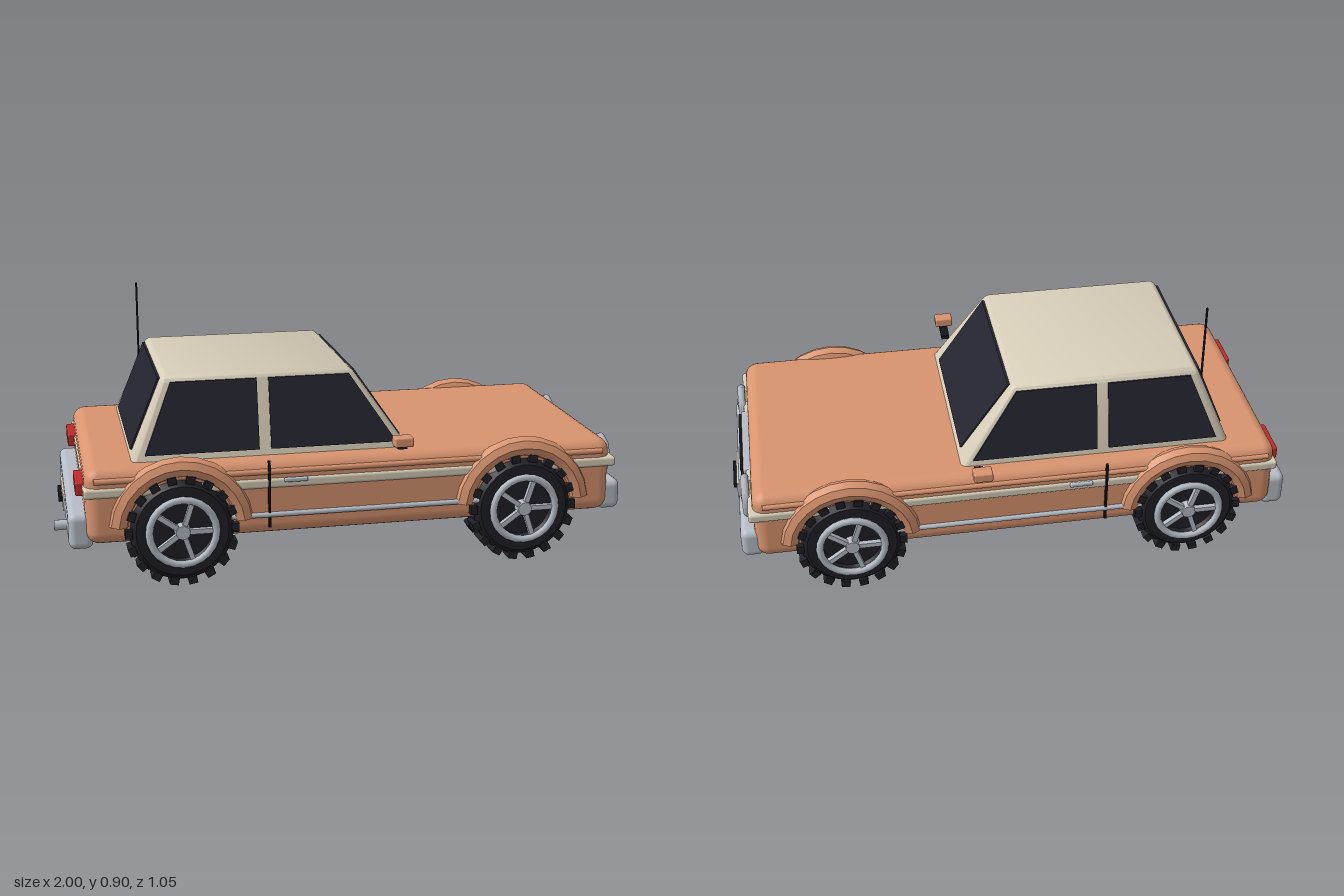
import * as THREE from 'three';
import { toCreasedNormals } from 'three/addons/utils/BufferGeometryUtils.js';
import { RoundedBoxGeometry } from 'three/addons/geometries/RoundedBoxGeometry.js';
import { ConvexGeometry } from 'three/addons/geometries/ConvexGeometry.js';

const mat = (name, color) => new THREE.MeshStandardMaterial({ name, color });

export function createModel() {
  const car = new THREE.Group();
  car.name = 'car';
  const M = {
    paint: mat('orangePaint', 0xd9946f),
    cream: mat('creamPaint', 0xd6cdb8),
    glass: mat('darkGlass', 0x242430),
    chrome: mat('chrome', 0xb6bcc6),
    tyre: mat('tyreRubber', 0x1e1e26),
    black: mat('blackTrim', 0x12121a),
    lens: mat('lampLens', 0xcdbd80),
    red: mat('tailRed', 0xc22a2a),
  };

  const add = (name, geo, m, x = 0, y = 0, z = 0, parent = car) => {
    const mesh = new THREE.Mesh(geo, m);
    mesh.name = name;
    mesh.position.set(x, y, z);
    parent.add(mesh);
    return mesh;
  };
  // Box given by its extents, rounded when r > 0
  const box = (name, m, x0, x1, y0, y1, z0, z1, r = 0, parent = car) => {
    const s = [x1 - x0, y1 - y0, z1 - z0];
    const geo = r ? new RoundedBoxGeometry(...s, 3, r) : new THREE.BoxGeometry(...s);
    return add(name, geo, m, (x0 + x1) / 2, (y0 + y1) / 2, (z0 + z1) / 2, parent);
  };
  // Cylinder lying along x
  const rodX = (name, m, x0, x1, y, z, r, sides = 10) => {
    const geo = new THREE.CylinderGeometry(r, r, x1 - x0, sides).rotateZ(Math.PI / 2);
    return add(name, geo, m, (x0 + x1) / 2, y, z);
  };

  // Body shell and the cream band around it
  box('body', M.paint, -0.9, 0.925, 0.15, 0.412, -0.435, 0.435, 0.045);
  box('sideBand', M.cream, -0.905, 0.94, 0.316, 0.35, -0.442, 0.442, 0.01);

  // Cabin: rounded box tapered towards the roof
  const lerp = THREE.MathUtils.lerp;
  const level = y => (y - 0.415) / 0.275;
  const frontX = y => lerp(0.205, 0.015, level(y));
  const rearX = y => lerp(-0.738, -0.625, level(y));
  const sideZ = y => lerp(0.37, 0.312, level(y));
  const cabin = new RoundedBoxGeometry(1, 0.32, 0.75, 4, 0.025);
  const p = cabin.attributes.position;
  for (let i = 0; i < p.count; i++) {
    const y = p.getY(i) + 0.53;
    p.setXYZ(i, lerp(rearX(y), frontX(y), p.getX(i) + 0.5), y, p.getZ(i) / 0.375 * sideZ(y));
  }
  add('cabin', toCreasedNormals(cabin, 0.8), M.cream);

  // Window plates lying on the sloping cabin faces
  const plate = (name, corners, offset) => {
    const pts = corners.flatMap(c => [1, -0.3].map(k => c.clone().addScaledVector(offset, k)));
    add(name, new ConvexGeometry(pts), M.glass);
  };
  const V = (x, y, z) => new THREE.Vector3(x, y, z);
  const lo = 0.433, hi = 0.668;
  for (const s of [1, -1]) {
    const sideWindow = (name, a, b, c, d) => plate(name,
      [V(a, lo, s * sideZ(lo)), V(b, lo, s * sideZ(lo)), V(c, hi, s * sideZ(hi)), V(d, hi, s * sideZ(hi))],
      V(0, 0, s * 0.006));
    sideWindow('rearSideWindow', -0.695, -0.31, -0.31, -0.6);
    sideWindow('frontSideWindow', -0.27, 0.165, 0.008, -0.27);
  }
  const endWindow = (name, fx, out) => plate(name,
    [V(fx(lo), lo, 0.283), V(fx(lo), lo, -0.283), V(fx(0.675), 0.675, 0.283), V(fx(0.675), 0.675, -0.283)],
    V(out, 0, 0));
  endWindow('windshield', frontX, 0.007);
  endWindow('rearWindow', rearX, -0.007);

  // Antenna
  add('antenna', new THREE.CylinderGeometry(0.004, 0.004, 0.4, 6), M.black, -0.655, 0.7, -0.268);

  // Wheels, built facing +z
  const tyreProfile = [[0.09, -0.07], [0.155, -0.07], [0.174, -0.05], [0.174, 0.05], [0.155, 0.07],
    [0.11, 0.07], [0.1, 0.055], [0, 0.055]].map(a => new THREE.Vector2(...a));
  const tyreGeo = toCreasedNormals(new THREE.LatheGeometry(tyreProfile, 28).rotateX(Math.PI / 2), 0.5);
  const capGeo = new THREE.CircleGeometry(0.1, 24).rotateY(Math.PI);
  const treadGeo = new THREE.BoxGeometry(0.03, 0.026, 0.065);
  const makeWheel = () => {
    const w = new THREE.Group();
    w.name = 'wheel';
    add('tyre', tyreGeo, M.tyre, 0, 0, 0, w);
    add('innerCap', capGeo, M.tyre, 0, 0, -0.066, w);
    for (let i = 0; i < 36; i++) {
      const a = i / 36 * Math.PI * 2;
      const block = add('treadBlock', treadGeo, M.tyre,
        Math.sin(a) * 0.177, Math.cos(a) * 0.177, i % 2 ? 0.037 : -0.037, w);
      block.rotation.z = -a;
    }
    const rim = add('rim', new THREE.TorusGeometry(0.112, 0.013, 8, 24), M.chrome, 0, 0, 0.08, w);
    rim.scale.z = 0.9;
    const hub = new THREE.CylinderGeometry(0.024, 0.028, 0.035, 12).rotateX(Math.PI / 2);
    add('hub', hub, M.chrome, 0, 0, 0.07, w);
    for (let i = 0; i < 5; i++) {
      const spoke = new THREE.BoxGeometry(0.1, 0.017, 0.018).translate(0.06, 0, 0);
      add('spoke', spoke, M.chrome, 0, 0, 0.073, w).rotation.z = i * Math.PI * 0.4;
    }
    return w;
  };

  // Wheels and flared arches
  const archGeo = toCreasedNormals(
    new THREE.TorusGeometry(0.21, 0.036, 8, 12, Math.PI * 0.94).rotateZ(Math.PI * 0.03), 0.6);
  for (const s of [1, -1]) {
    for (const x of [-0.585, 0.6]) {
      const w = makeWheel();
      w.position.set(x, 0.191, s * 0.386);
      if (s < 0) w.rotation.y = Math.PI;
      car.add(w);
      add('wheelArch', archGeo, M.paint, x, 0.195, s * 0.424);
    }

    // Side trim, sill rail, door seam and handle
    rodX('shoulderRib', M.paint, -0.87, 0.89, 0.373, s * 0.433, 0.01);
    rodX('sillRail', M.chrome, -0.42, 0.45, 0.224, s * 0.441, 0.009);
    box('doorSeam', M.black, -0.294, -0.286, 0.18, 0.412, s * 0.44 - 0.006, s * 0.44 + 0.006);
    box('doorHandle', M.chrome, -0.24, -0.16, 0.337, 0.352, s * 0.446 - 0.007, s * 0.446 + 0.007, 0.005);

    // Door mirrors
    const arm = box('mirrorArm', M.black, 0.14, 0.17, 0.436, 0.452, s * 0.457 - 0.034, s * 0.457 + 0.034);
    arm.rotation.x = -s * 0.12;
    box('mirrorPost', M.black, 0.147, 0.163, 0.44, 0.465, s * 0.485 - 0.007, s * 0.485 + 0.007);
    box('mirror', M.paint, 0.12, 0.185, 0.455, 0.488, s * 0.501 - 0.024, s * 0.501 + 0.024, 0.006);

    // Headlights
    const ring = new THREE.TorusGeometry(0.061, 0.015, 6, 8).rotateY(Math.PI / 2);
    add('headlightRing', ring, M.chrome, 0.945, 0.317, s * 0.28);
    const lens = new THREE.SphereGeometry(0.058, 6, 6).rotateZ(-Math.PI / 2).scale(0.5, 1, 1);
    add('headlightLens', lens, M.lens, 0.935, 0.317, s * 0.28);

    // Tail lights
    box('tailLight', M.red, -0.928, -0.89, 0.308, 0.355, s * 0.295 - 0.075, s * 0.295 + 0.075, 0.006);
  }

  // Grille with dark slots
  box('grille', M.chrome, 0.91, 0.95, 0.25, 0.352, -0.18, 0.18, 0.006);
  for (const y of [0.275, 0.309, 0.342]) box('grilleSlot', M.black, 0.94, 0.96, y - 0.007, y + 0.007, -0.166, 0.166);

  // Bumpers, plates and plate bars
  box('frontBumper', M.chrome, 0.895, 0.975, 0.147, 0.255, -0.413, 0.413, 0.025);
  box('rearBumper', M.chrome, -0.957, -0.875, 0.13, 0.255, -0.405, 0.405, 0.025);
  for (const s of [1, -1]) {
    const x = s > 0 ? 0.976 : -0.958;
    box('numberPlate', M.cream, x - 0.006, x + 0.006, 0.17, 0.232, -0.1, 0.1);
    box('plateBar', M.black, x + s * 0.011 - 0.008, x + s * 0.011 + 0.008, 0.194, 0.211, -0.07, 0.07);
  }

  // Exhaust
  rodX('exhaustPipe', M.chrome, -1, -0.85, 0.175, 0.26, 0.018, 12);

  return car;
}
